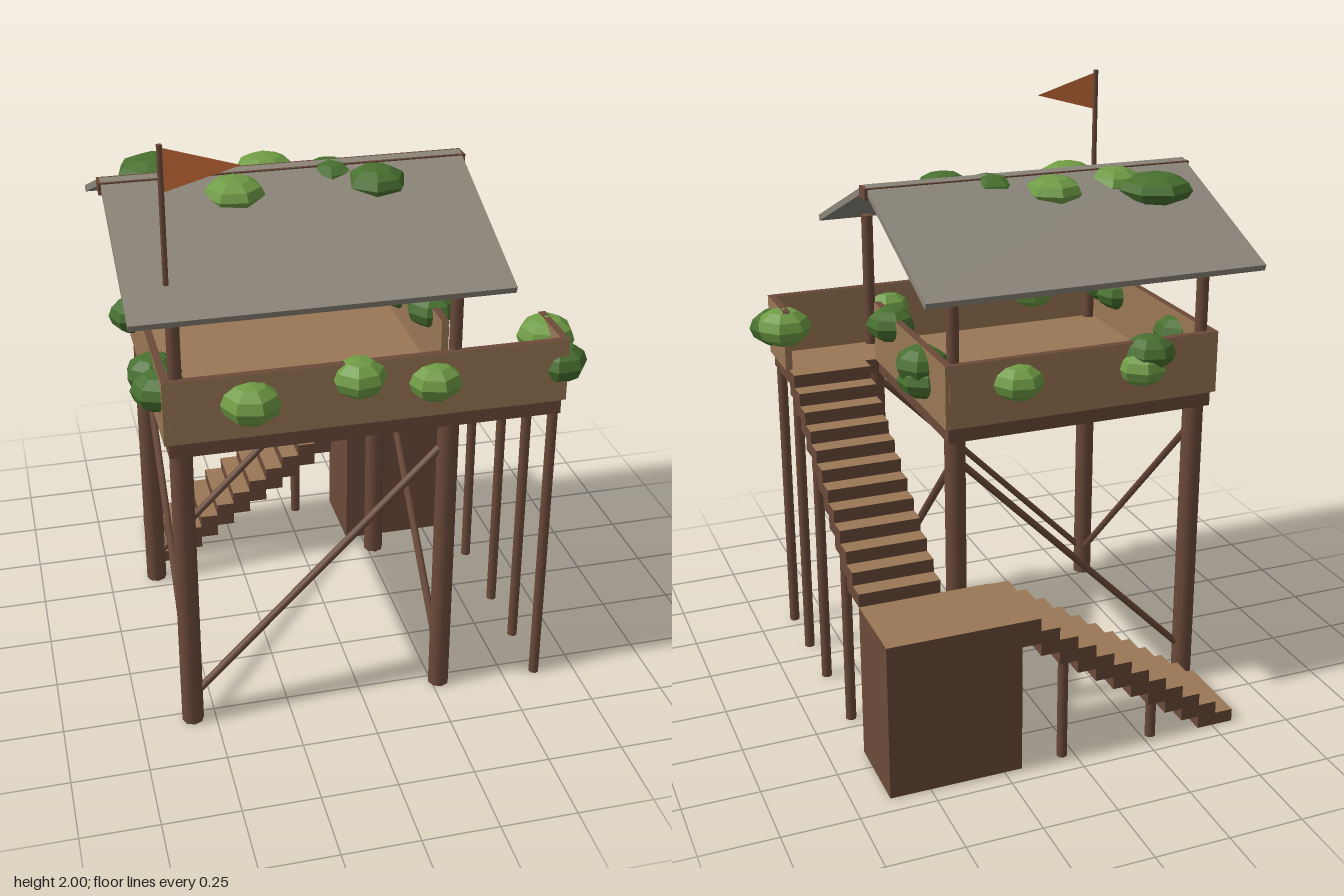
import * as THREE from 'three';

const mat = (name, color, extra = {}) => {
  const m = new THREE.MeshStandardMaterial({ color, ...extra });
  m.name = name;
  return m;
};

export function createModel() {
  const root = new THREE.Group();
  root.name = 'watchtower';

  const tan = mat('tan planks', 0x9a7755);
  const dark = mat('dark timber', 0x6b4a3a);
  const grey = mat('grey roofing', 0x8c867a);
  const leafLight = mat('light leaves', 0x6f9c45, { flatShading: true });
  const leafDark = mat('dark leaves', 0x48702f, { flatShading: true });
  const cloth = mat('orange cloth', 0xd0713a, { side: THREE.DoubleSide });
  const plankTop = [dark, dark, tan, dark, dark, dark]; // timber with a tan walking surface
  const darkTop = [tan, tan, dark, tan, tan, tan]; // tan wall with a dark cap

  const group = (name) => {
    const g = new THREE.Group();
    g.name = name;
    root.add(g);
    return g;
  };
  const add = (parent, name, geo, material) => {
    const m = new THREE.Mesh(geo, material);
    m.name = name;
    parent.add(m);
    return m;
  };
  // Box given by its limits on each axis
  const box = (parent, name, material, x0, x1, y0, y1, z0, z1) => {
    const m = add(parent, name, new THREE.BoxGeometry(x1 - x0, y1 - y0, z1 - z0), material);
    m.position.set((x0 + x1) / 2, (y0 + y1) / 2, (z0 + z1) / 2);
    return m;
  };
  // Round pole between two points
  const pole = (parent, name, a, b, r, sides = 8) => {
    const p = new THREE.Vector3(...a), q = new THREE.Vector3(...b);
    const d = q.clone().sub(p);
    const m = add(parent, name, new THREE.CylinderGeometry(r, r, d.length(), sides), dark);
    m.position.copy(p).add(q).multiplyScalar(0.5);
    m.quaternion.setFromUnitVectors(new THREE.Vector3(0, 1, 0), d.normalize());
    return m;
  };

  // Main legs and the thinner posts that carry the roof
  const frame = group('frame');
  for (const right of [false, true]) {
    for (const front of [false, true]) {
      const x = right ? 0.275 : -0.575, z = front ? 0.53 : -0.32;
      pole(frame, 'leg', [x, 0, z], [x, 1.03, z], 0.036);
      const rx = right ? 0.283 : -0.585, rz = front ? 0.543 : -0.332;
      pole(frame, 'roofPost', [rx, 1.05, rz], [rx, 1.545, rz], 0.021);
    }
  }
  // Diagonal braces, one per side
  for (const z of [0.53, -0.32]) pole(frame, 'brace', [-0.565, 0.1, z], [0.265, 0.94, z], 0.013, 6);
  for (const x of [-0.575, 0.275]) pole(frame, 'brace', [x, 0.1, 0.52], [x, 0.94, -0.31], 0.013, 6);

  // L-shaped deck
  const deck = group('deck');
  box(deck, 'mainFloor', plankTop, -0.615, 0.31, 1.02, 1.07, -0.36, 0.57);
  box(deck, 'sideFloor', plankTop, 0.31, 0.633, 1.02, 1.07, 0.36, 0.57);

  // Parapet walls
  const walls = group('walls');
  const wall = (name, x0, x1, z0, z1) => box(walls, name, darkTop, x0, x1, 1.07, 1.28, z0, z1);
  wall('frontWall', -0.615, 0.633, 0.555, 0.579);
  wall('backWall', -0.615, 0.31, -0.372, -0.348);
  wall('leftWall', -0.63, -0.606, -0.37, 0.577);
  wall('innerWall', 0.298, 0.322, -0.37, 0.36);
  wall('outerWall', 0.621, 0.645, 0.36, 0.577);

  // Two flights of stairs with a solid landing between them
  const stairs = group('stairs');
  const run = 0.0638, riseA = 0.53 / 12, riseB = 0.54 / 12;
  for (let i = 0; i < 12; i++) {
    const x = -0.575 + i * run, topA = (i + 1) * riseA;
    box(stairs, 'lowerStep', plankTop, x, x + run, Math.max(0, topA - 2 * riseA), topA, -0.685, -0.41);
    const z = -0.406 + i * run, topB = 0.53 + (i + 1) * riseB;
    box(stairs, 'upperStep', plankTop, 0.36, 0.633, Math.max(0.53, topB - 2 * riseB), topB, z, z + run);
  }
  box(stairs, 'landing', plankTop, 0.19, 0.633, 0, 0.53, -0.685, -0.406);
  for (const [z, h] of [[0.555, 1.03], [0.338, 1.03], [0.108, 0.88], [-0.193, 0.62]]) {
    pole(stairs, 'upperStairPost', [0.613, 0, z], [0.613, h, z], 0.018);
  }
  for (const [x, h] of [[-0.28, 0.14], [0.04, 0.36]]) {
    pole(stairs, 'lowerStairPost', [x, 0, -0.66], [x, h, -0.66], 0.018);
  }

  // Pitched roof: a bent sheet extruded along x, with a ridge beam under the peak
  const roof = group('roof');
  const profile = new THREE.Shape();
  // the shape's first axis becomes -z after turning
  [[-0.683, 1.525], [-0.675, 1.505], [-0.102, 1.735], [0.475, 1.505], [0.483, 1.525], [-0.102, 1.758]]
    .forEach(([a, b], i) => (i ? profile.lineTo(a, b) : profile.moveTo(a, b)));
  const sheet = new THREE.ExtrudeGeometry(profile, { depth: 1.147, bevelEnabled: false });
  sheet.rotateY(Math.PI / 2).translate(-0.727, 0, 0);
  add(roof, 'roofSheet', sheet, grey);
  box(roof, 'ridgeBeam', dark, -0.735, 0.43, 1.712, 1.75, 0.072, 0.132);

  // Flag and its pole
  const flag = group('flag');
  pole(flag, 'flagPole', [-0.598, 1.58, 0.547], [-0.598, 2, 0.547], 0.009, 6);
  const pennant = new THREE.Shape();
  pennant.moveTo(-0.592, 1.99);
  pennant.lineTo(-0.592, 1.86);
  pennant.lineTo(-0.37, 1.922);
  add(flag, 'pennant', new THREE.ShapeGeometry(pennant), cloth).position.z = 0.547;

  // Bushes: x, y, z, radius, light or dark
  const plants = group('plants');
  const bush = new THREE.SphereGeometry(1, 7, 6);
  [
    // front wall
    [-0.365, 1.19, 0.585, 0.095, 1], [-0.03, 1.23, 0.575, 0.088, 1], [0.21, 1.19, 0.575, 0.088, 1],
    // outer corner
    [0.635, 1.18, 0.52, 0.092, 0], [0.635, 1.215, 0.4, 0.095, 1],
    // inner wall
    [0.315, 1.25, 0.19, 0.085, 0], [0.32, 1.215, -0.14, 0.09, 0], [0.32, 1.165, -0.15, 0.085, 0],
    // back wall
    [0.08, 1.2, -0.37, 0.085, 1], [-0.35, 1.195, -0.375, 0.085, 1], [-0.38, 1.24, -0.37, 0.085, 0],
    // left wall
    [-0.625, 1.2, -0.1, 0.085, 0], [-0.625, 1.21, 0.36, 0.088, 0], [-0.625, 1.21, 0.48, 0.088, 0],
    // roof
    [-0.535, 1.702, -0.075, 0.125, 0], [-0.44, 1.705, 0.05, 0.1, 1], [-0.195, 1.705, 0, 0.1, 1],
    [-0.01, 1.705, 0.1, 0.1, 0], [-0.33, 1.705, 0.19, 0.1, 1], [0.12, 1.705, 0.19, 0.1, 0],
  ].forEach(([x, y, z, r, light], i) => {
    const m = add(plants, 'bush', bush, light ? leafLight : leafDark);
    m.position.set(x, y, z);
    m.scale.set(r, y > 1.5 ? 0.053 : r * 0.7, r);
    m.rotation.y = i * 1.3;
  });

  return root;
}
